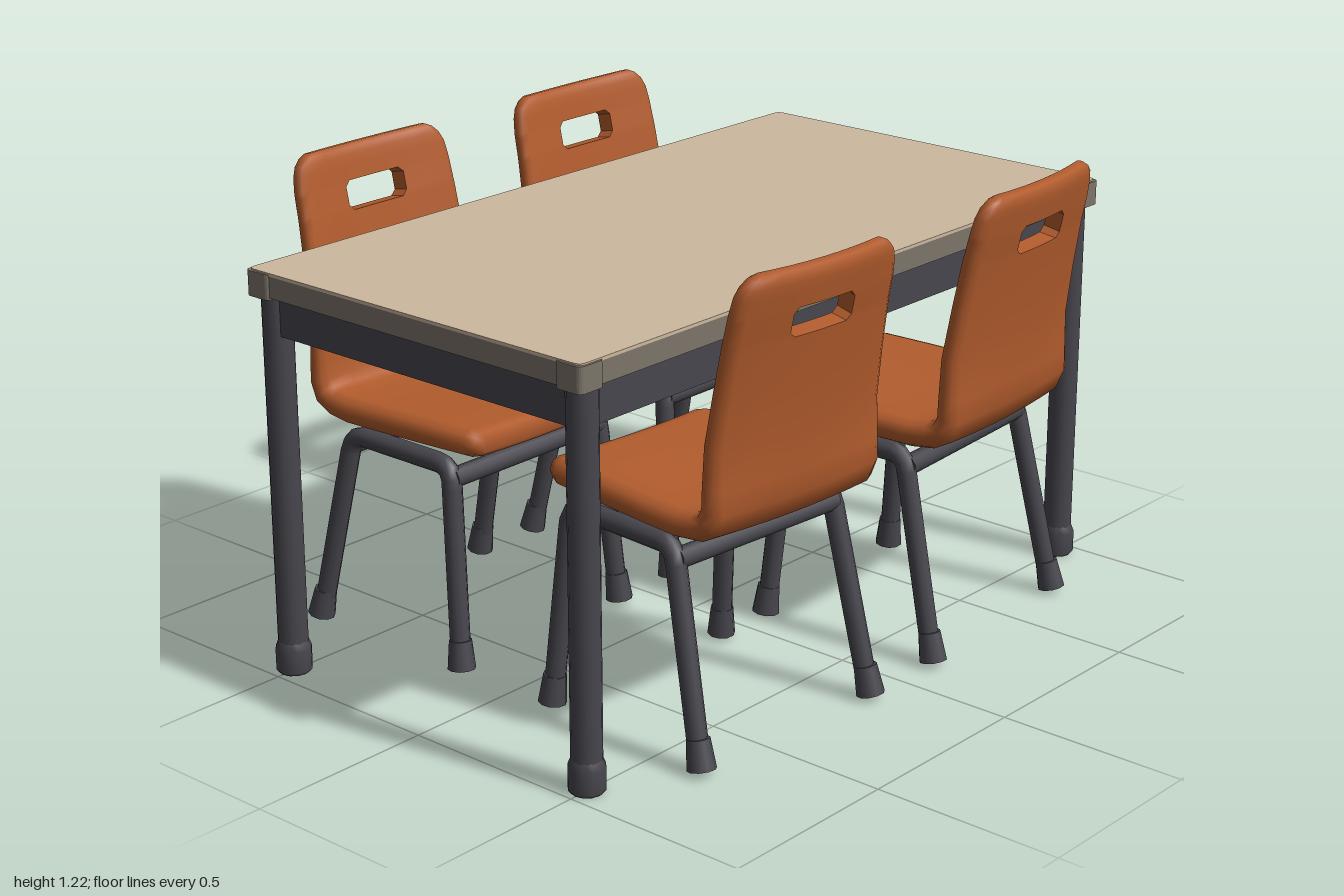
import * as THREE from 'three';

const mat = (name, color) => {
  const m = new THREE.MeshStandardMaterial({ color });
  m.name = name;
  return m;
};
const V = (x, y, z) => new THREE.Vector3(x, y, z);

// Chair shell: rounded cross-sections swept from seat front to top of back, with a hand slot.
function shellGeometry() {
  // x, y, half thickness, half width, slot half width
  const rows = [
    [-0.298, 0.592, 0.018, 0.245], [-0.287, 0.593, 0.03, 0.262], [-0.26, 0.592, 0.037, 0.275],
    [-0.13, 0.588, 0.037, 0.28], [0.05, 0.582, 0.037, 0.284], [0.15, 0.58, 0.037, 0.285],
    [0.21, 0.587, 0.036, 0.285], [0.25, 0.606, 0.034, 0.285], [0.27, 0.645, 0.03, 0.284],
    [0.276, 0.7, 0.026, 0.283], [0.284, 0.8, 0.024, 0.278], [0.303, 0.93, 0.023, 0.271],
    [0.323, 1.048, 0.023, 0.265, 0.085], [0.326, 1.062, 0.023, 0.264, 0.1],
    [0.336, 1.108, 0.023, 0.262, 0.1], [0.339, 1.122, 0.023, 0.261, 0.085],
    [0.346, 1.16, 0.023, 0.255], [0.351, 1.185, 0.023, 0.243], [0.354, 1.203, 0.019, 0.225], [0.356, 1.212, 0.011, 0.205],
  ];
  const K = 9, L = 2 * K + 6, slotRows = [12, 15], slotCols = [2, 6];
  const pos = [], idx = [];
  rows.forEach(([x, y, T, W, h = 0.1], i) => {
    const a = rows[Math.max(i - 1, 0)], b = rows[Math.min(i + 1, rows.length - 1)];
    const t = new THREE.Vector2(b[0] - a[0], b[1] - a[1]).normalize();
    const e = W - T, half = [h / 2, h, (h + e) / 2, e];
    const cols = [...half.map(v => -v).reverse(), 0, ...half];
    const arc = [Math.PI / 4, 0, -Math.PI / 4].map(q => [e + T * Math.cos(q), T * Math.sin(q)]);
    const loop = [...cols.map(w => [w, T]), ...arc,
      ...cols.slice().reverse().map(w => [w, -T]), ...arc.slice().reverse().map(([w, n]) => [-w, n])];
    const dish = 0.01 + 0.016 * THREE.MathUtils.smoothstep(y, 0.6, 0.8);
    for (const [w, n] of loop) {
      const o = n + dish * (w / 0.28) ** 2;
      pos.push(x - t.y * o, y + t.x * o, w);
    }
  });
  const at = (i, j) => i * L + (j + L) % L;
  const mirror = j => 2 * K + 2 - j;
  const quad = (a, b, c, d) => idx.push(a, b, c, a, c, d);
  const inSlot = j => j >= slotCols[0] && j < slotCols[1];
  for (let i = 0; i < rows.length - 1; i++) {
    for (let j = 0; j < L; j++) {
      if (i >= slotRows[0] && i < slotRows[1] && (inSlot(j) || inSlot(2 * K + 1 - j))) continue;
      quad(at(i, j), at(i, j + 1), at(i + 1, j + 1), at(i + 1, j));
    }
  }
  // Closed ends
  const end = rows.length - 1;
  for (let j = -2; j <= K; j++) {
    quad(at(0, j), at(0, mirror(j)), at(0, mirror(j + 1)), at(0, j + 1));
    quad(at(end, j), at(end, j + 1), at(end, mirror(j + 1)), at(end, mirror(j)));
  }
  // Slot walls
  const wall = (i, j, i2, j2) => {
    const base = pos.length / 3;
    for (const p of [at(i, j), at(i, mirror(j)), at(i2, mirror(j2)), at(i2, j2)])
      pos.push(pos[3 * p], pos[3 * p + 1], pos[3 * p + 2]);
    quad(base, base + 1, base + 2, base + 3);
  };
  const [r0, r1] = slotRows, [c0, c1] = slotCols;
  for (let i = r0; i < r1; i++) {
    wall(i, c0, i + 1, c0);
    wall(i + 1, c1, i, c1);
  }
  for (let j = c0; j < c1; j++) {
    wall(r0, j + 1, r0, j);
    wall(r1, j, r1, j + 1);
  }
  const g = new THREE.BufferGeometry();
  g.setAttribute('position', new THREE.Float32BufferAttribute(pos, 3));
  g.setIndex(idx);
  g.computeVertexNormals();
  return g;
}

export function createModel() {
  const model = new THREE.Group();
  model.name = 'tableAndChairs';
  const orange = mat('orangePlastic', 0xb25c2d);
  const dark = mat('darkMetal', 0x47464d);
  const tan = mat('tanLaminate', 0xcdb89f);
  const rimGrey = mat('taupeRim', 0x7d756a);

  const add = (parent, name, geometry, material, x = 0, y = 0, z = 0) => {
    const m = new THREE.Mesh(geometry, material);
    m.name = name;
    m.position.set(x, y, z);
    parent.add(m);
    return m;
  };

  // Table
  const table = new THREE.Group();
  table.name = 'table';
  model.add(table);
  const slab = (hx, hz, r, depth) => {
    const s = new THREE.Shape();
    s.moveTo(-hx + r, -hz);
    s.lineTo(hx - r, -hz).quadraticCurveTo(hx, -hz, hx, -hz + r);
    s.lineTo(hx, hz - r).quadraticCurveTo(hx, hz, hx - r, hz);
    s.lineTo(-hx + r, hz).quadraticCurveTo(-hx, hz, -hx, hz - r);
    s.lineTo(-hx, -hz + r).quadraticCurveTo(-hx, -hz, -hx + r, -hz);
    return new THREE.ExtrudeGeometry(s, { depth, bevelEnabled: false, curveSegments: 5 }).rotateX(-Math.PI / 2);
  };
  add(table, 'tableRim', slab(0.54, 0.993, 0.02, 0.055), rimGrey, 0, 0.995, 0);
  add(table, 'tableTop', slab(0.541, 0.994, 0.02, 0.008), tan, 0, 1.05, 0);
  add(table, 'underside', new THREE.BoxGeometry(1.04, 0.008, 1.94), dark, 0, 0.992, 0);
  const legGeo = new THREE.CylinderGeometry(0.038, 0.038, 0.95, 16);
  const footGeo = new THREE.LatheGeometry([[0, 0], [0.04, 0], [0.046, 0.008], [0.046, 0.065], [0.038, 0.085]]
    .map(p => new THREE.Vector2(...p)), 12);
  const cornerGeo = slab(0.04, 0.04, 0.018, 0.064);
  for (const sx of [-1, 1]) {
    add(table, 'sideApron', new THREE.BoxGeometry(0.04, 0.1, 1.84), dark, sx * 0.495, 0.942, 0);
    add(table, 'endApron', new THREE.BoxGeometry(0.94, 0.1, 0.04), dark, 0, 0.942, sx * 0.945);
    for (const sz of [-1, 1]) {
      add(table, 'tableLeg', legGeo, dark, sx * 0.5, 0.515, sz * 0.945);
      add(table, 'tableFoot', footGeo, dark, sx * 0.5, 0, sz * 0.945);
      add(table, 'cornerCap', cornerGeo, rimGrey, sx * 0.507, 0.99, sz * 0.96);
    }
  }

  // Chair parts, back towards +x
  const shell = shellGeometry();
  const feet = [[-0.255, -0.215], [0.25, 0.148]]; // foot x, knee x
  const sideFrame = s => {
    const path = new THREE.CurvePath();
    const [[f, fk], [b, bk]] = feet;
    const p = [V(f, 0.03, s * 0.29), V(fk, 0.49, s * 0.266), V(fk + 0.05, 0.532, s * 0.262),
      V(bk - 0.05, 0.532, s * 0.262), V(bk, 0.49, s * 0.266), V(b, 0.03, s * 0.29)];
    path.add(new THREE.LineCurve3(p[0], p[1]));
    path.add(new THREE.QuadraticBezierCurve3(p[1], V(fk + 0.005, 0.532, s * 0.262), p[2]));
    path.add(new THREE.LineCurve3(p[2], p[3]));
    path.add(new THREE.QuadraticBezierCurve3(p[3], V(bk - 0.01, 0.532, s * 0.262), p[4]));
    path.add(new THREE.LineCurve3(p[4], p[5]));
    return new THREE.TubeGeometry(path, 60, 0.026, 10);
  };
  const frames = [-1, 1].map(sideFrame);
  const barGeo = new THREE.CylinderGeometry(0.026, 0.026, 0.53, 10).rotateX(Math.PI / 2);
  const chairFoot = new THREE.CylinderGeometry(0.029, 0.036, 0.075, 10);

  const chair = (x, z, turn) => {
    const g = new THREE.Group();
    g.name = 'chair';
    add(g, 'seatShell', shell, orange);
    for (const geo of frames) add(g, 'legFrame', geo, dark);
    for (const [foot, knee] of feet) {
      add(g, 'crossBar', barGeo, dark, knee, 0.502, 0);
      for (const s of [-1, 1]) {
        const m = add(g, 'chairFoot', chairFoot, dark, foot, 0.05, s * 0.29);
        m.quaternion.setFromUnitVectors(V(0, 1, 0), V(knee - foot, 0.46, -s * 0.024).normalize());
      }
    }
    g.position.set(x, 0, z);
    g.rotation.y = turn;
    model.add(g);
  };
  chair(-0.43, -0.4, Math.PI);
  chair(-0.43, 0.39, Math.PI);
  chair(0.41, -0.4, 0.075);
  chair(0.41, 0.4, -0.075);
  return model;
}
